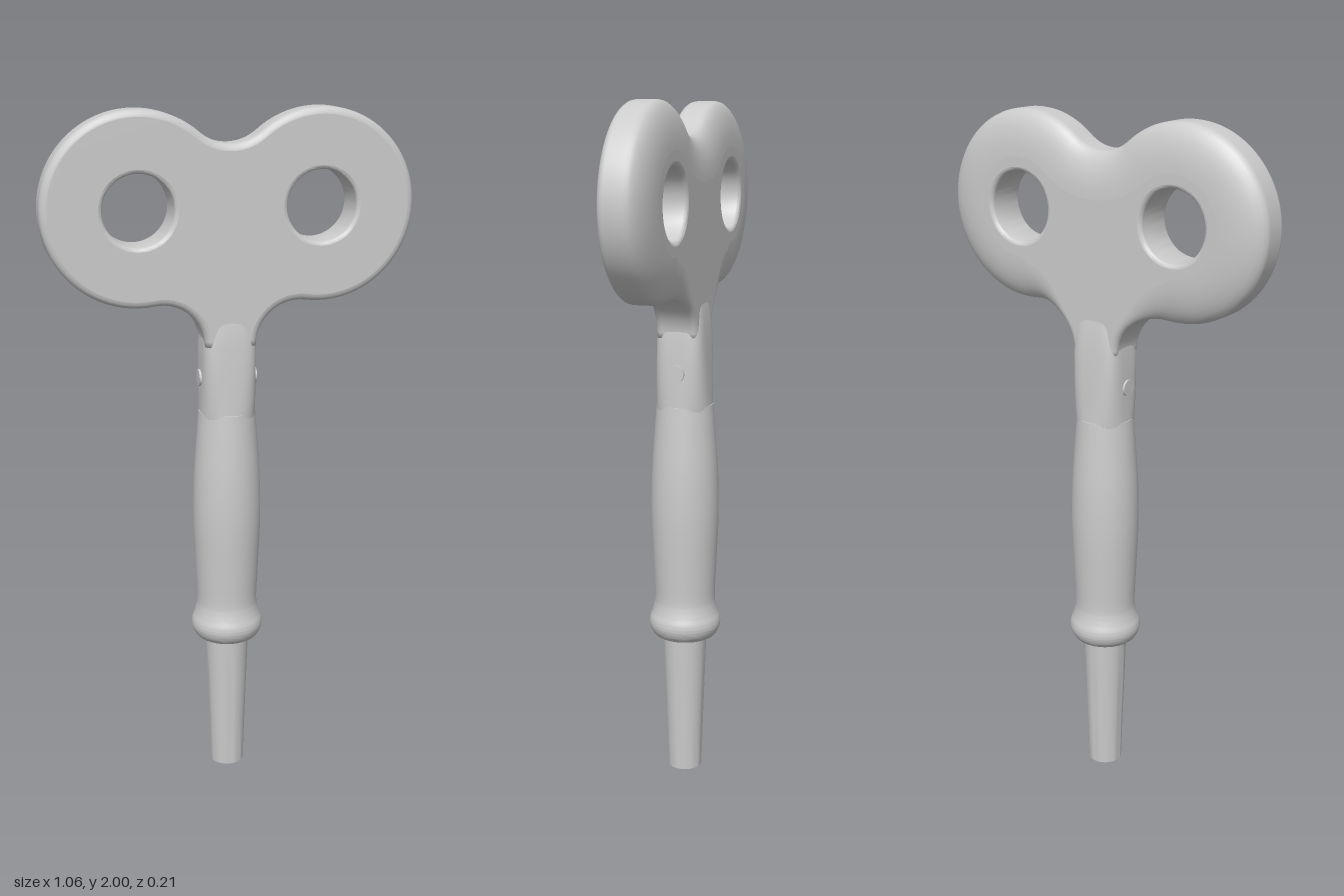
import * as THREE from 'three';
import { toCreasedNormals } from 'three/addons/utils/BufferGeometryUtils.js';

const material = new THREE.MeshStandardMaterial({ color: 0xcccccc });
const V2 = (x, y) => new THREE.Vector2(x, y);
const smooth = THREE.MathUtils.smoothstep;

function part(name, geometry) {
  const mesh = new THREE.Mesh(geometry, material);
  mesh.name = name;
  return mesh;
}

// Skin through closed rings of equal length
function loft(rings) {
  const n = rings[0].length, index = [];
  for (let i = 0; i < rings.length - 1; i++) {
    for (let j = 0; j < n; j++) {
      const a = i * n + j, b = i * n + (j + 1) % n;
      index.push(a, a + n, b, b, a + n, b + n);
    }
  }
  const geometry = new THREE.BufferGeometry();
  geometry.setAttribute('position', new THREE.Float32BufferAttribute(rings.flat(2), 3));
  geometry.setIndex(index);
  geometry.computeVertexNormals();
  return geometry;
}

function lathe(points, segments) {
  return toCreasedNormals(new THREE.LatheGeometry(points, segments), 0.6);
}

const LOBE = { x: 0.26, y: 1.73, r: 0.27 };
const HOLE = 0.1, RIM = 0.012, FRONT = 0.065, BACK = -0.06;

// Two-lobed outline from tangent arcs, each point with its outward normal
function headOutline() {
  const half = [];
  const arc = (cx, cy, r, from, to, steps, sign) => {
    for (let i = half.length ? 1 : 0; i <= steps; i++) {
      const t = from + (to - from) * i / steps, c = Math.cos(t), s = Math.sin(t);
      half.push({ x: cx + r * c, y: cy + r * s, nx: sign * c, ny: sign * s });
    }
  };
  const flare = { x: 0.1988, y: 1.34, r: 0.1248 }, waist = { y: 2.038, r: 0.133 };
  const low = Math.atan2(flare.y - LOBE.y, flare.x - LOBE.x);
  const high = Math.atan2(waist.y - LOBE.y, -LOBE.x);
  arc(flare.x, flare.y, flare.r, Math.PI, low + Math.PI, 14, -1);
  arc(LOBE.x, LOBE.y, LOBE.r, low, high, 56, 1);
  arc(0, waist.y, waist.r, high - Math.PI, -Math.PI / 2, 10, -1);
  const mirrored = half.slice(0, -1).reverse().map(p => ({ ...p, x: -p.x, nx: -p.nx }));
  return [...half, ...mirrored];
}

function buildHead() {
  const head = new THREE.Group();
  head.name = 'head';
  const outline = headOutline();
  const ring = (inset, depth) => outline.map(p => {
    // The back slope is wide on the lobes and fades out toward the neck
    const w = Math.max(smooth(Math.abs(p.x), 0.1, 0.26), smooth(p.y, 1.5, 1.7));
    const d = inset(w);
    return [p.x - p.nx * d, p.y - p.ny * d, depth(w)];
  });

  const rings = [];
  for (let i = 0; i <= 4; i++) {
    const t = i / 4 * Math.PI / 2;
    rings.push(ring(() => 0.02 * (1 - Math.sin(t)), () => FRONT - 0.02 * (1 - Math.cos(t))));
  }
  for (let i = 0; i <= 8; i++) {
    const t = i / 8 * Math.PI / 2;
    rings.push(ring(
      w => (0.02 + 0.11 * w) * (1 - Math.cos(t)),
      w => BACK + (0.018 + 0.034 * w) * (1 - Math.sin(t))
    ));
  }
  head.add(part('headEdge', loft(rings)));

  // Flat faces, pierced by the two holes
  const face = (points) => {
    const shape = new THREE.Shape(points.map(p => V2(p[0], p[1])));
    for (const side of [-1, 1]) {
      shape.holes.push(new THREE.Path().absarc(side * LOBE.x, LOBE.y, HOLE + RIM, 0, Math.PI * 2, true));
    }
    return new THREE.ShapeGeometry(shape, 24);
  };
  head.add(part('headFront', face(rings[0]).translate(0, 0, FRONT)));
  head.add(part('headBack', face(rings[rings.length - 1]).rotateY(Math.PI).translate(0, 0, BACK)));

  // Hole walls with rounded rims
  const profile = [];
  for (let i = 0; i <= 4; i++) {
    const t = i / 4 * Math.PI / 2;
    profile.push(V2(HOLE + RIM * (1 - Math.sin(t)), FRONT - RIM * (1 - Math.cos(t))));
  }
  for (let i = 0; i <= 4; i++) {
    const t = i / 4 * Math.PI / 2;
    profile.push(V2(HOLE + RIM * (1 - Math.cos(t)), BACK + RIM * (1 - Math.sin(t))));
  }
  for (const side of [-1, 1]) {
    const wall = lathe(profile, 48).rotateX(Math.PI / 2).translate(side * LOBE.x, LOBE.y, 0);
    head.add(part(side > 0 ? 'leftHoleWall' : 'rightHoleWall', wall));
  }
  return head;
}

// Neck: rounded-square sections turning round toward the grip
function buildNeck() {
  const sections = [ // y, half width, half depth, squareness
    [1.5, 0.055, 0.045, 4], [1.42, 0.07, 0.064, 4], [1.34, 0.078, 0.071, 4],
    [1.26, 0.079, 0.075, 3.5], [1.18, 0.08, 0.078, 2.8], [1.12, 0.081, 0.081, 2.2]
  ];
  const bend = (v, e) => Math.sign(v) * Math.abs(v) ** (2 / e);
  return part('neck', loft(sections.map(([y, w, d, e]) =>
    Array.from({ length: 48 }, (_, i) => {
      const t = i / 48 * Math.PI * 2;
      return [w * bend(Math.cos(t), e), y, -d * bend(Math.sin(t), e)];
    }))));
}

// Grip: swelling handle with a rolled collar at its foot
function buildGrip() {
  const curve = new THREE.SplineCurve([
    V2(0.062, 0.42), V2(0.09, 0.43), V2(0.105, 0.455), V2(0.106, 0.48), V2(0.096, 0.51), V2(0.09, 0.55),
    V2(0.094, 0.65), V2(0.1, 0.8), V2(0.098, 0.93), V2(0.09, 1.05), V2(0.083, 1.14)
  ]);
  return part('grip', lathe([...curve.getPoints(50), V2(0.07, 1.142)], 40));
}

// Hollow tapered stem, open at the bottom
function buildStem() {
  return part('stem', lathe([
    V2(0, 0.3), V2(0.04, 0.3), V2(0.04, 0), V2(0.051, 0), V2(0.055, 0.14), V2(0.06, 0.28), V2(0.066, 0.45)
  ], 40));
}

export function createModel() {
  const model = new THREE.Group();
  model.name = 'windingKey';
  model.add(buildHead(), buildNeck(), buildGrip(), buildStem());

  // Small studs on both sides of the neck
  for (const side of [-1, 1]) {
    const stud = new THREE.CylinderGeometry(0.024, 0.024, 0.02, 20).rotateZ(Math.PI / 2);
    model.add(part(side > 0 ? 'leftStud' : 'rightStud', stud.translate(side * 0.075, 1.24, 0)));
  }
  return model;
}
